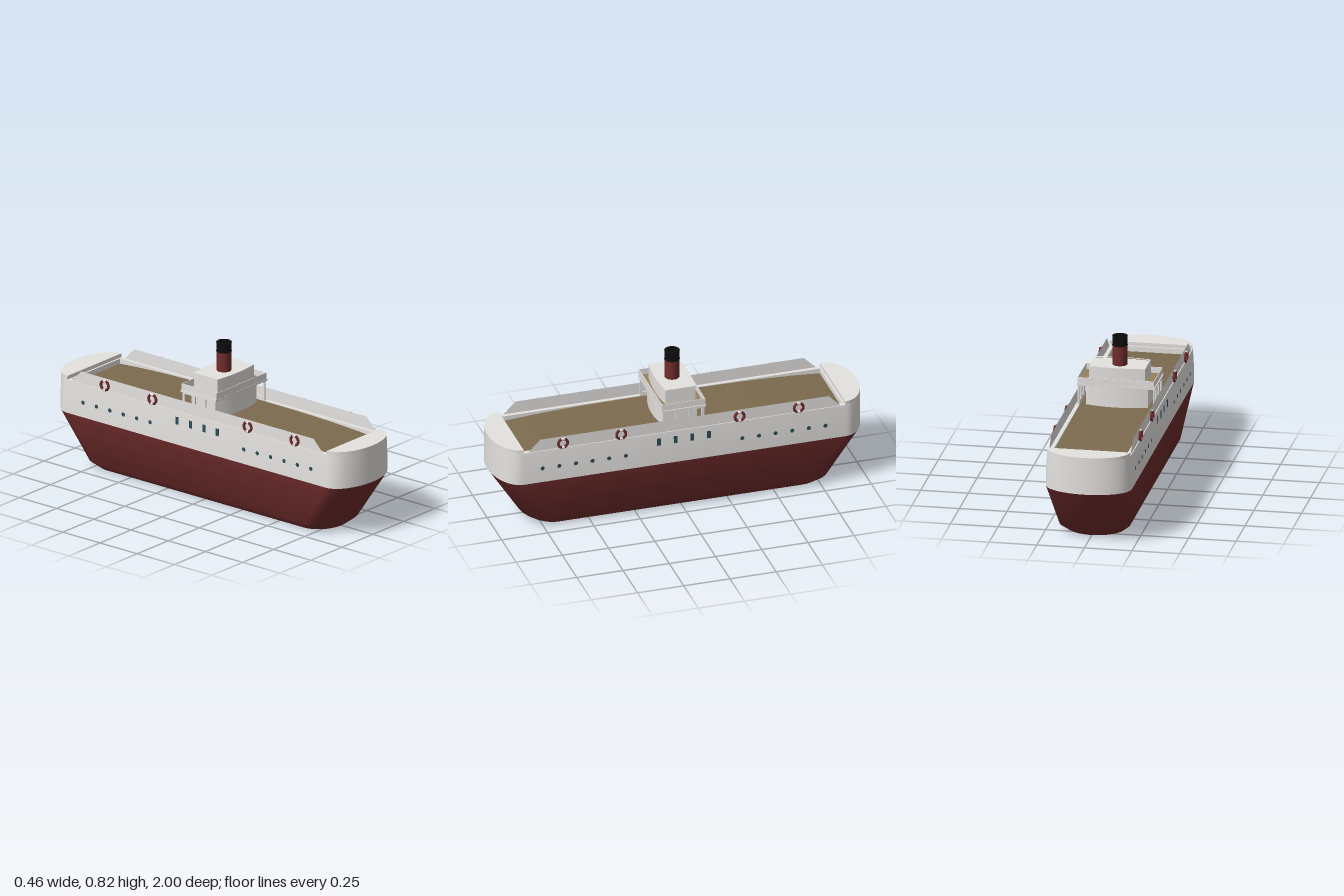
import * as THREE from 'three';
import { toCreasedNormals } from 'three/addons/utils/BufferGeometryUtils.js';

const material = (name, color, side = THREE.FrontSide) => {
  const m = new THREE.MeshStandardMaterial({ color, side });
  m.name = name;
  return m;
};

// Plan outline of the ship: straight sides with half-elliptical ends, as [x, z]
function outline(hw, hl, e = 0.13, n = 20) {
  const pts = [];
  for (const [start, zc] of [[0, hl - e], [Math.PI, e - hl]]) {
    for (let i = 0; i <= n; i++) {
      const t = start + Math.PI * i / n;
      pts.push([hw * Math.cos(t), zc + e * Math.sin(t)]);
    }
  }
  return pts;
}

// Skin between plan outlines at rising heights: [y, halfWidth, halfLength]
function loft(levels) {
  const pos = [], index = [];
  const rings = levels.map(([, hw, hl]) => outline(hw, hl));
  const n = rings[0].length;
  rings.forEach((ring, j) => ring.forEach(([x, z]) => pos.push(x, levels[j][0], z)));
  for (let j = 0; j < rings.length - 1; j++) {
    for (let i = 0; i < n; i++) {
      const a = j * n + i, b = j * n + (i + 1) % n;
      index.push(a, a + n, b, b, a + n, b + n);
    }
  }
  const g = new THREE.BufferGeometry();
  g.setAttribute('position', new THREE.Float32BufferAttribute(pos, 3));
  g.setIndex(index);
  return toCreasedNormals(g, 0.7);
}

const shapeOf = pts => new THREE.Shape(pts.map(([x, z]) => new THREE.Vector2(x, -z)));

// Upright prism over a plan outline
function prism(shape, y0, y1) {
  const g = new THREE.ExtrudeGeometry(shape, { depth: y1 - y0, bevelEnabled: false, curveSegments: 12 });
  g.rotateX(-Math.PI / 2).translate(0, y0, 0);
  return toCreasedNormals(g, 0.5);
}

// Deckhouse plan with bowed front and back
function housePlan(hw, corner, bulge, n = 10) {
  const pts = [];
  for (const s of [1, -1]) {
    for (let i = 0; i <= n; i++) {
      const u = 1 - 2 * i / n;
      pts.push([s * hw * u, s * (corner + bulge * (1 - u * u))]);
    }
  }
  return shapeOf(pts);
}

function rectPath(x0, x1, y0, y1, Type = THREE.Path) {
  return new Type([[x0, y0], [x1, y0], [x1, y1], [x0, y1]].map(p => new THREE.Vector2(...p)));
}

// Part of a lifebuoy ring standing along the hull side, angles in degrees
function buoyArc(start, sweep) {
  const rad = Math.PI / 180;
  return new THREE.TorusGeometry(0.025, 0.0072, 10, 12, sweep * rad)
    .rotateZ(start * rad).rotateY(Math.PI / 2);
}

export function createModel() {
  const ship = new THREE.Group();
  ship.name = 'ship';
  const white = material('white paint', 0xe4e2df);
  const whiteSheet = material('white sheet', 0xe4e2df, THREE.DoubleSide);
  const red = material('red paint', 0x702c2c);
  const wood = material('main deck wood', 0x7c6b4e);
  const paleWood = material('boat deck wood', 0x9a7f5c);
  const black = material('black funnel paint', 0x0d0d0d, THREE.DoubleSide);
  const glass = material('window glass', 0x2c4c58);

  const add = (name, geometry, mat, x = 0, y = 0, z = 0, parent = ship) => {
    const m = new THREE.Mesh(geometry, mat);
    m.name = name;
    m.position.set(x, y, z);
    parent.add(m);
    return m;
  };

  // Hull
  add('lowerHull', loft([[0, 0.15, 0.79], [0.035, 0.185, 0.835], [0.29, 0.225, 1]]), red);
  add('keelPlate', new THREE.ShapeGeometry(shapeOf(outline(0.15, 0.79))).rotateX(Math.PI / 2), red);
  add('upperHull', loft([[0.29, 0.225, 1], [0.38, 0.224, 1], [0.47, 0.219, 1]]), white);

  // Gunwale around the sunken deck
  const rim = shapeOf(outline(0.2188, 0.9995));
  rim.holes.push(rectPath(-0.193, 0.193, -0.86, 0.86));
  add('gunwale', prism(rim, 0.42, 0.47), white);

  // Deck, dipping a little toward both ends
  const deck = new THREE.PlaneGeometry(0.39, 1.73, 1, 32).rotateX(-Math.PI / 2);
  const dp = deck.attributes.position;
  for (let i = 0; i < dp.count; i++) {
    dp.setY(i, 0.467 - 0.025 * Math.pow(Math.abs(dp.getZ(i)) / 0.865, 3));
  }
  deck.computeVertexNormals();
  add('mainDeck', deck, wood);

  // Raised end decks
  for (const s of [1, -1]) {
    const pts = [];
    for (let i = 0; i <= 20; i++) {
      const t = Math.PI * i / 20;
      pts.push([s * 0.217 * Math.cos(t), s * (0.87 + 0.13 * Math.sin(t))]);
    }
    add(s > 0 ? 'bowDeck' : 'sternDeck', prism(shapeOf(pts), 0.465, 0.49), white);
  }

  // Bulwarks, portholes, windows and lifebuoys on both sides
  const bulwark = new THREE.ShapeGeometry(new THREE.Shape(
    [[-0.85, 0.465], [0.85, 0.465], [0.78, 0.535], [-0.78, 0.535]].map(p => new THREE.Vector2(...p))
  )).rotateY(Math.PI / 2);
  const porthole = new THREE.CylinderGeometry(0.011, 0.011, 0.006, 14).rotateZ(Math.PI / 2);
  const sideWindow = new THREE.BoxGeometry(0.006, 0.04, 0.02);
  const redArc = buoyArc(-70, 140), whiteArc = buoyArc(70, 40);
  for (const s of [1, -1]) {
    add('bulwark', bulwark, whiteSheet, s * 0.214);
    for (let i = 0; i < 6; i++) {
      add('porthole', porthole, glass, s * 0.2222, 0.37, 0.77 - 0.09 * i);
      add('porthole', porthole, glass, s * 0.2222, 0.37, -0.31 - 0.09 * i);
    }
    for (let i = 0; i < 4; i++) add('sideWindow', sideWindow, glass, s * 0.2203, 0.42, 0.14 - 0.09 * i);
    for (const z of [0.66, 0.345, -0.295, -0.615]) {
      const buoy = new THREE.Group();
      buoy.name = 'lifebuoy';
      buoy.position.set(s * 0.224, 0.5, z);
      ship.add(buoy);
      for (const turn of [0, Math.PI]) {
        add('buoyRing', redArc, red, 0, 0, 0, buoy).rotation.x = turn;
        add('buoyBand', whiteArc, white, 0, 0, 0, buoy).rotation.x = turn;
      }
    }
  }

  // Lower deckhouse with open side galleries
  add('lowerHouse', prism(housePlan(0.162, 0.085, 0.025), 0.455, 0.58), white);
  const frame = rectPath(-0.112, 0.112, 0.46, 0.58, THREE.Shape);
  for (const z of [-0.07, 0, 0.07]) frame.holes.push(rectPath(z - 0.027, z + 0.027, 0.49, 0.57));
  const gallery = new THREE.ExtrudeGeometry(frame, { depth: 0.008, bevelEnabled: false })
    .translate(0, 0, -0.004).rotateY(Math.PI / 2);
  for (const s of [1, -1]) add('galleryFrame', gallery, white, s * 0.197);

  // Boat deck with its parapet
  add('boatDeckSlab', new THREE.BoxGeometry(0.414, 0.01, 0.238), white, 0, 0.583, 0);
  add('boatDeckFloor', new THREE.BoxGeometry(0.398, 0.004, 0.23), paleWood, 0, 0.589, 0);
  for (const s of [1, -1]) {
    add('parapetSide', new THREE.BoxGeometry(0.003, 0.036, 0.233), white, s * 0.2, 0.605, 0);
    add('parapetEnd', new THREE.BoxGeometry(0.403, 0.036, 0.003), white, 0, 0.605, s * 0.116);
  }

  // Upper house with a low roof edge flush with its walls
  add('upperHouse', prism(housePlan(0.147, 0.08, 0.012), 0.585, 0.668), white);
  const lip = housePlan(0.147, 0.08, 0.012);
  lip.holes.push(new THREE.Path(housePlan(0.137, 0.07, 0.012).getPoints()));
  add('roofEdge', prism(lip, 0.668, 0.675), white);

  // Funnel: red stack, black open top with rings
  add('funnelStack', new THREE.CylinderGeometry(0.038, 0.038, 0.11, 32, 1, true), red, 0, 0.72, 0);
  add('funnelTop', new THREE.CylinderGeometry(0.038, 0.038, 0.05, 32, 1, true), black, 0, 0.8, 0);
  add('funnelLining', new THREE.CylinderGeometry(0.026, 0.026, 0.155, 32, 1, true), black, 0, 0.747, 0);
  add('funnelRim', new THREE.RingGeometry(0.026, 0.038, 32).rotateX(-Math.PI / 2), black, 0, 0.825, 0);
  for (const y of [0.774, 0.822]) {
    add('funnelRing', new THREE.TorusGeometry(0.038, 0.0025, 8, 32).rotateX(Math.PI / 2), black, 0, y, 0);
  }
  return ship;
}
